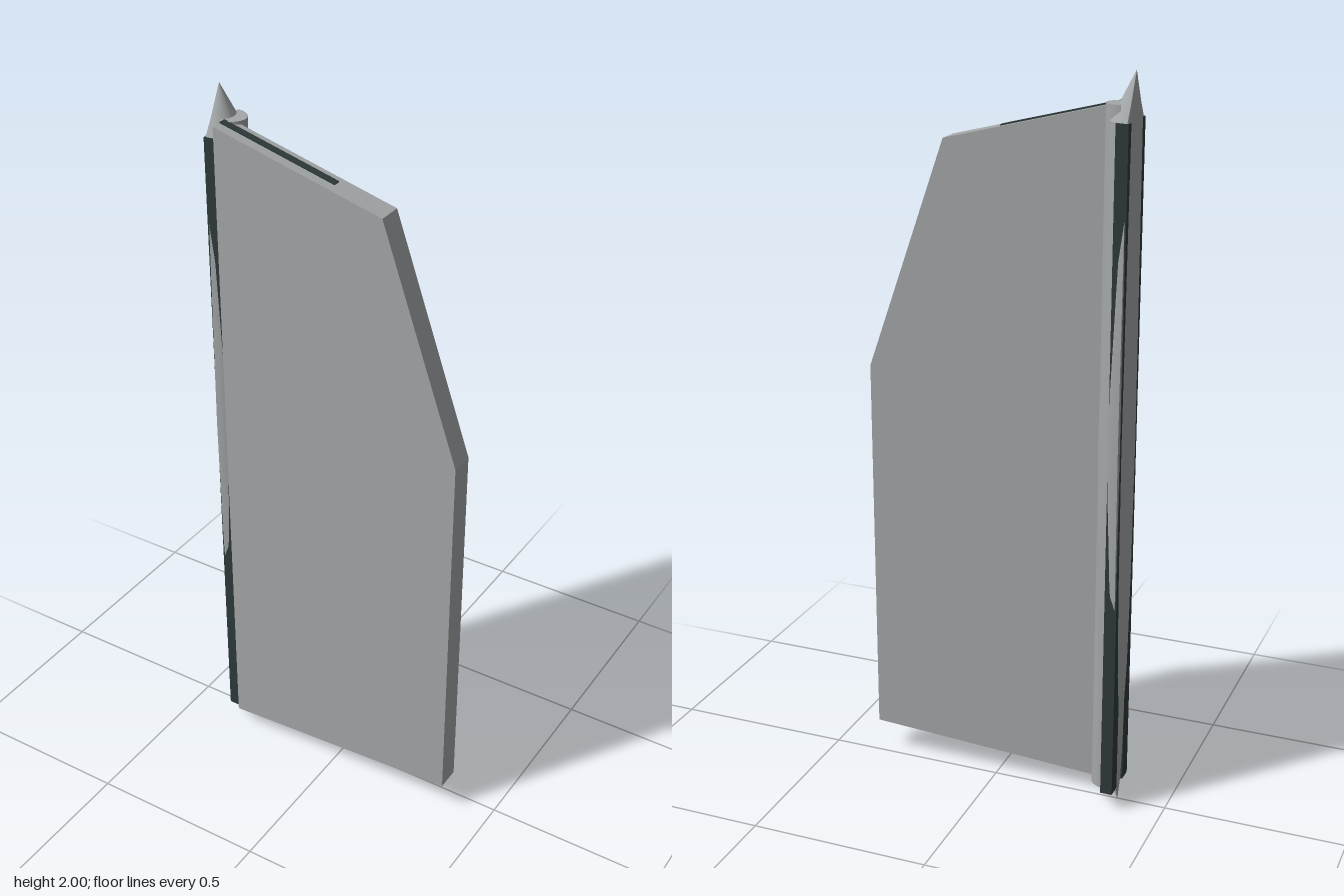
import * as THREE from 'three';
import { toCreasedNormals } from 'three/addons/utils/BufferGeometryUtils.js';

const material = (name, color) => Object.assign(new THREE.MeshStandardMaterial({ color }), { name });

export function createModel() {
  const model = new THREE.Group();
  const grey = material('grey metal', 0xa4a7a8);
  const dark = material('dark trim', 0x2f3a3a);

  function add(name, geometry, mat, x = 0, y = 0, z = 0) {
    const mesh = new THREE.Mesh(geometry, mat);
    mesh.name = name;
    mesh.position.set(x, y, z);
    model.add(mesh);
    return mesh;
  }

  // Broad flat panel with a clipped upper corner
  const outline = [[-0.33, 0.05], [0.37, 0.09], [0.37, 1.17], [0.15, 1.8], [-0.33, 1.92]];
  const shape = new THREE.Shape(outline.map(([x, y]) => new THREE.Vector2(x, y)));
  add('panel', new THREE.ExtrudeGeometry(shape, { depth: 0.067, bevelEnabled: false }), grey, 0, 0, 0.01);

  // Dark strips lying along the sloped top and bottom edges
  for (const [name, y0, y1] of [['topStrip', 1.92, 1.8375], ['bottomStrip', 0.05, 0.0689]]) {
    const length = Math.hypot(0.33, y1 - y0);
    const strip = add(name, new THREE.BoxGeometry(length, 0.006, 0.02), dark, -0.165, (y0 + y1) / 2, 0.039);
    strip.rotation.z = Math.atan2(y1 - y0, 0.33);
  }

  // Half-round rod joining the panel to the spindle
  const rod = new THREE.CylinderGeometry(0.041, 0.041, 1.87, 24, 1, false, 0, Math.PI);
  rod.scale(1.22, 1, 1);
  add('hingeRod', rod, grey, -0.34, 0.985, -0.004);

  // Long pointed spindle, its outer half flattened to a shallow ridge
  const profile = [[0, 0], [0.018, 0.05], [0.042, 0.2], [0.06, 0.4], [0.069, 0.66], [0.074, 1.05],
    [0.0695, 1.45], [0.064, 1.88], [0.04, 1.92], [0, 2]];
  const spindle = new THREE.LatheGeometry(profile.map(([r, y]) => new THREE.Vector2(r, y)), 32);
  const p = spindle.attributes.position;
  for (let i = 0; i < p.count; i++) if (p.getX(i) < 0) p.setX(i, p.getX(i) * 0.1);
  add('spindle', toCreasedNormals(spindle, 0.5), grey, -0.364, 0, -0.003);

  // Dark rails on either side of the spindle
  for (const side of [-1, 1]) {
    add(side < 0 ? 'backRail' : 'frontRail', new THREE.BoxGeometry(0.033, 1.83, 0.042), dark,
      -0.352, 0.965, side * 0.046 - 0.003);
  }
  return model;
}
